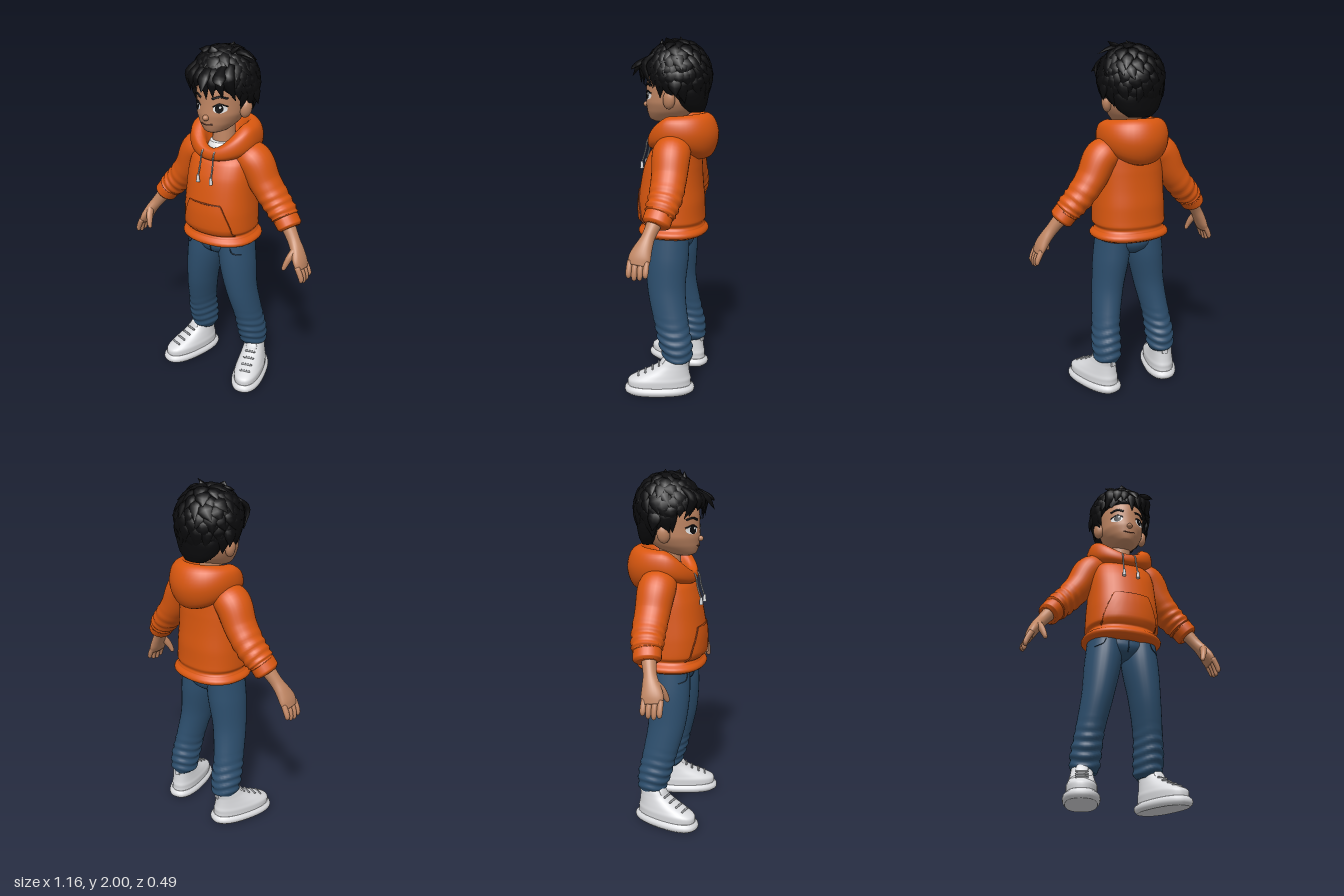
import * as THREE from 'three';

const V = (x, y, z) => new THREE.Vector3(x, y, z);
const mat = (name, color) => {
  const m = new THREE.MeshStandardMaterial({ color, side: THREE.DoubleSide });
  m.name = name;
  return m;
};

// Skin a smooth surface over elliptical rings [x, y, z, ra, rb].
// With ref = null the rings stay horizontal (listed bottom to top);
// otherwise they follow the path and ra lies along ref.
function loft(rings, { steps = 24, segs = 24, ref = null, power = 2, ripple = null } = {}) {
  const path = new THREE.CatmullRomCurve3(rings.map(r => V(r[0], r[1], r[2])));
  const size = new THREE.CatmullRomCurve3(rings.map(r => V(r[3], r[4], 0)));
  const pos = [], idx = [];
  const pw = c => Math.sign(c) * Math.abs(c) ** (2 / power);
  for (let i = 0; i <= steps; i++) {
    const t = i / steps, c = path.getPoint(t), s = size.getPoint(t);
    const dir = ref ? path.getTangent(t) : V(0, 1, 0);
    const b = dir.clone().cross(ref || V(1, 0, 0)).normalize(), a = b.clone().cross(dir);
    for (let j = 0; j < segs; j++) {
      const w = j / segs * Math.PI * 2, k = ripple ? ripple(t, w, c) : 1;
      const p = c.clone().addScaledVector(a, pw(Math.cos(w)) * s.x * k).addScaledVector(b, pw(Math.sin(w)) * s.y * k);
      pos.push(p.x, p.y, p.z);
    }
  }
  for (let i = 0; i < steps; i++) for (let j = 0; j < segs; j++) {
    const p = i * segs + j, q = i * segs + (j + 1) % segs;
    idx.push(p, q, p + segs, q, q + segs, p + segs);
  }
  const first = pos.length / 3, top = steps * segs;
  for (const t of [0, 1]) pos.push(...path.getPoint(t).toArray());
  for (let j = 0; j < segs; j++) {
    const k = (j + 1) % segs;
    idx.push(first, k, j, first + 1, top + j, top + k);
  }
  const g = new THREE.BufferGeometry();
  g.setAttribute('position', new THREE.Float32BufferAttribute(pos, 3));
  g.setIndex(idx);
  g.computeVertexNormals();
  return g;
}

export function createModel() {
  const root = new THREE.Group();
  const orange = mat('hoodie orange', 0xd9570f), seamOrange = mat('seam orange', 0x9c3d0b);
  const denim = mat('denim blue', 0x2d4f6e), darkDenim = mat('seam blue', 0x1c3247);
  const skin = mat('skin', 0xc08663), lipBrown = mat('lip brown', 0x6e4030);
  const black = mat('hair black', 0x0b0b0d), white = mat('eye white', 0xf0f0f0);
  const shoeWhite = mat('shoe white', 0xd9dadd), grey = mat('lace grey', 0x9a9ca0);

  const add = (name, geo, m, parent = root) => {
    const o = new THREE.Mesh(geo, m);
    o.name = name;
    parent.add(o);
    return o;
  };
  // Front surface point of a mesh at (x, y)
  const ray = new THREE.Raycaster();
  const onFront = (mesh, x, y, lift) => {
    ray.set(V(x, y, 1), V(0, 0, -1));
    const hit = ray.intersectObject(mesh)[0];
    return V(x, y, (hit ? hit.point.z : 0) + lift);
  };
  const drape = (geo, mesh, lift) => {
    const p = geo.attributes.position;
    for (let i = 0; i < p.count; i++) p.setZ(i, onFront(mesh, p.getX(i), p.getY(i), lift).z);
    geo.computeVertexNormals();
    return geo;
  };
  const line = (name, mesh, pts, r, m) => {
    const c = new THREE.CatmullRomCurve3(pts.map(p => V(p[0], p[1], 0)));
    const q = c.getPoints(12).map(p => onFront(mesh, p.x, p.y, r * 0.3));
    return add(name, new THREE.TubeGeometry(new THREE.CatmullRomCurve3(q), 20, r, 6), m);
  };

  // Hoodie body with ribbed hem
  const torso = add('hoodieBody', loft([
    [0, .9, .01, .185, .16], [0, .91, .01, .205, .178], [0, .955, .01, .205, .178], [0, .972, .01, .196, .172],
    [0, 1.0, .017, .21, .187], [0, 1.1, .02, .207, .186], [0, 1.2, .018, .2, .174], [0, 1.3, .01, .195, .16],
    [0, 1.38, -.005, .185, .14], [0, 1.43, -.02, .15, .105], [0, 1.45, -.02, .1, .07]],
  { steps: 60, segs: 40, power: 2.3 }), orange);

  // Hood: collar in front, hanging pouch behind; profiles are [distance, height]
  const front = [[.075, 1.4], [.105, 1.455], [.14, 1.455], [.152, 1.43], [.145, 1.4], [.1, 1.38]];
  const side = [[.08, 1.46], [.125, 1.58], [.18, 1.565], [.198, 1.51], [.19, 1.45], [.14, 1.4]];
  const back = [[.1, 1.46], [.165, 1.595], [.215, 1.57], [.245, 1.47], [.205, 1.36], [.12, 1.33]];
  const hoodPos = [], hoodIdx = [], N = 48, M = 24;
  for (let i = 0; i < N; i++) {
    const th = i / N * Math.PI * 2, c = Math.cos(th), k = Math.abs(c) ** 1.5, end = c > 0 ? front : back;
    const curve = new THREE.CatmullRomCurve3(side.map((p, n) =>
      V(p[0] + (end[n][0] - p[0]) * k, p[1] + (end[n][1] - p[1]) * k, 0)));
    for (let j = 0; j <= M; j++) {
      const p = curve.getPoint(j / M);
      hoodPos.push(p.x * Math.sin(th), p.y, p.x * c);
      if (j < M) {
        const a = i * (M + 1) + j, b = (i + 1) % N * (M + 1) + j;
        hoodIdx.push(a, a + 1, b, b, a + 1, b + 1);
      }
    }
  }
  const hood = new THREE.BufferGeometry();
  hood.setAttribute('position', new THREE.Float32BufferAttribute(hoodPos, 3));
  // Reverse winding so the outside faces outward
  for (let i = 0; i < hoodIdx.length; i += 3) [hoodIdx[i], hoodIdx[i + 1]] = [hoodIdx[i + 1], hoodIdx[i]];
  hood.setIndex(hoodIdx);
  hood.computeVertexNormals();
  add('hood', hood, orange);
  add('undershirt', loft([[0, 1.38, .02, .08, .08], [0, 1.45, .02, .075, .075], [0, 1.48, .015, .066, .066]]), white);

  // Front pocket with stitched openings
  const pocket = new THREE.PlaneGeometry(2, 1, 16, 8), pp = pocket.attributes.position;
  for (let i = 0; i < pp.count; i++) {
    const v = pp.getY(i) + .5;
    pp.setXY(i, pp.getX(i) * (.16 - .06 * v ** 1.5), .975 + .185 * v);
  }
  add('frontPocket', drape(pocket, torso, .007), orange);
  line('pocketTopSeam', torso, [[-.1, 1.16], [0, 1.162], [.1, 1.16]], .005, seamOrange);

  // Head, neck and face
  const head = add('head', loft([
    [0, 1.543, .075, .025, .04], [0, 1.557, .06, .06, .085], [0, 1.6, .03, .102, .13], [0, 1.65, .018, .125, .148],
    [0, 1.7, .01, .13, .153], [0, 1.77, 0, .135, .16], [0, 1.86, -.01, .125, .145], [0, 1.93, -.01, .06, .07]],
  { steps: 40, segs: 40 }), skin);
  add('neck', new THREE.CylinderGeometry(.06, .068, .2, 20).translate(0, 1.5, -.005), skin);
  add('nose', new THREE.SphereGeometry(1, 14, 10).scale(.017, .016, .02).translate(0, 1.637, .166), skin);
  line('mouth', head, [[-.035, 1.602], [0, 1.597], [.035, 1.604]], .0035, lipBrown);

  const disc = (name, x, y, rx, ry, lift, m) =>
    add(name, drape(new THREE.CircleGeometry(1, 20).scale(rx, ry, 1).translate(x, y, 0), head, lift), m);

  for (const s of [1, -1]) {
    // Eyes, brows, ears
    disc('eyeWhite', s * .07, 1.688, .03, .022, .003, white);
    disc('iris', s * .068, 1.69, .018, .023, .005, black);
    disc('eyeGlint', s * .068 + .006, 1.698, .005, .006, .007, white);
    line('upperLash', head, [[s * .038, 1.698], [s * .068, 1.714], [s * .1, 1.7]], .004, black);
    line('eyebrow', head, [[s * .035, 1.74], [s * .07, 1.752], [s * .1, 1.742]], .006, black);
    const ear = add('ear', new THREE.SphereGeometry(1, 16, 12).scale(.026, .05, .036), skin);
    ear.position.set(s * .142, 1.67, 0);
    ear.rotation.set(-.15, s * -.35, s * -.15);

    line('pocketSideSeam', torso, [[s * .1, 1.16], [s * .122, 1.11], [s * .15, 1.03], [s * .16, .975]], .005, seamOrange);

    // Drawstrings
    add('drawstring', new THREE.TubeGeometry(new THREE.CatmullRomCurve3(
      [V(s * .035, 1.46, .12), V(s * .038, 1.44, .152), V(s * .04, 1.38, .165), V(s * .042, 1.32, .183)]), 16, .005, 6), grey);
    add('drawstringTip', new THREE.CylinderGeometry(.007, .011, .04, 10).translate(s * .042, 1.298, .187), shoeWhite);

    // Sleeve with gathered folds, then cuff
    const axis = V(0, 0, 1);
    add('sleeve', loft([
      [s * .1, 1.42, -.02, .085, .07], [s * .185, 1.385, -.025, .105, .095], [s * .252, 1.27, -.03, .097, .085],
      [s * .325, 1.175, -.03, .092, .078], [s * .385, 1.11, -.02, .085, .072], [s * .405, 1.085, -.015, .07, .06]],
    { steps: 50, segs: 28, ref: axis, ripple: (t, w) =>
      1 + .05 * THREE.MathUtils.smoothstep(t, .4, .7) * Math.sin(t * 62 + 1.5 * Math.sin(w)) }), orange);
    add('cuff', loft([
      [s * .39, 1.105, -.018, .06, .05], [s * .398, 1.095, -.015, .077, .067], [s * .425, 1.06, -.008, .077, .066],
      [s * .434, 1.048, -.005, .06, .052]], { ref: axis }), orange);

    // Hand, fingers and thumb
    add('hand', loft([
      [s * .42, 1.065, 0, .042, .04], [s * .468, 1.0, .02, .036, .034], [s * .503, .95, .036, .047, .032],
      [s * .53, .9, .05, .06, .028], [s * .546, .862, .055, .055, .02]], { ref: axis }), skin);
    for (let i = 0; i < 4; i++) {
      const z = .055 + (i - 1.5) * .03, len = [.055, .068, .072, .06][i];
      add('finger', loft([
        [s * .538, .885, z, .015, .016], [s * .556, .85, z, .016, .016], [s * .567, .865 - len * .75, z, .015, .014],
        [s * .566, .865 - len, z, .011, .01], [s * .563, .86 - len, z, .003, .003]], { steps: 12, segs: 10, ref: axis }), skin);
    }
    add('thumb', loft([
      [s * .5, .965, .055, .02, .02], [s * .485, .925, .085, .022, .019], [s * .472, .885, .105, .017, .015],
      [s * .464, .858, .113, .012, .011], [s * .462, .85, .114, .003, .003]], { steps: 14, segs: 12, ref: axis }), skin);

    // Trouser leg, bunched at the ankle
    const leg = add('trouserLeg', loft([
      [s * .18, .18, -.06, .06, .065], [s * .18, .2, -.06, .077, .082], [s * .178, .29, -.045, .083, .097],
      [s * .168, .4, -.02, .079, .1], [s * .137, .6, .018, .088, .11], [s * .11, .8, .02, .102, .124], [s * .1, .94, .015, .096, .122]],
    { steps: 70, segs: 28, ripple: (t, w, c) =>
      1 + .05 * (1 - THREE.MathUtils.smoothstep(c.y, .3, .5)) * Math.sin(c.y * 125 + 1.6 * Math.sin(w * 2 + s)) }), denim);
    line('trouserPocketSeam', leg, [[s * .13, .895], [s * .145, .865], [s * .185, .85]], .003, darkDenim);

    // Shoe, turned slightly outward
    const shoe = new THREE.Group();
    shoe.name = 'shoe';
    shoe.position.set(s * .222, 0, .038);
    shoe.rotation.y = s * .28;
    root.add(shoe);
    add('sole', loft([[0, 0, 0, .082, .185], [0, .004, 0, .085, .189], [0, .045, 0, .085, .189], [0, .05, 0, .08, .184]],
      { steps: 12, segs: 36, power: 2.4 }), shoeWhite, shoe);
    add('shoeUpper', loft([
      [0, .04, 0, .08, .183], [0, .08, 0, .081, .182], [0, .108, -.02, .075, .156], [0, .14, -.055, .067, .116],
      [0, .17, -.08, .061, .088], [0, .203, -.098, .056, .074], [0, .21, -.098, .045, .06]],
    { steps: 30, segs: 36, power: 2.3 }), shoeWhite, shoe);
    add('heelTab', new THREE.BoxGeometry(.03, .05, .014).translate(0, .19, -.17), shoeWhite, shoe);
    const tongue = add('tongue', new THREE.SphereGeometry(1, 14, 10).scale(.034, .04, .012), shoeWhite, shoe);
    tongue.position.set(0, .188, -.02);
    tongue.rotation.x = -.5;
    for (const [y, z] of [[.112, .122], [.13, .082], [.15, .04], [.172, .004]])
      add('lace', new THREE.CapsuleGeometry(.006, .055, 4, 8).rotateZ(Math.PI / 2).translate(0, y, z), grey, shoe);
  }

  // Seat of the trousers and fly
  const seat = add('trouserSeat', loft([[0, .81, .015, .05, .07], [0, .84, .016, .13, .11], [0, .88, .016, .185, .124],
    [0, .94, .015, .19, .122]], { segs: 32 }), denim);
  line('fly', seat, [[0, .9], [.002, .87], [0, .835]], .003, darkDenim);

  // Hair: a cap covered in swept tufts
  const hair = new THREE.Group();
  hair.name = 'hair';
  root.add(hair);
  add('hairCap', loft([
    [0, 1.6, -.12, .07, .04], [0, 1.64, -.1, .12, .075], [0, 1.7, -.085, .148, .1], [0, 1.76, -.045, .16, .14],
    [0, 1.81, -.01, .165, .168], [0, 1.87, -.008, .158, .16], [0, 1.93, -.01, .115, .12], [0, 1.96, -.01, .04, .04]],
  { steps: 30, segs: 32 }), black, hair);
  const centre = V(0, 1.8, -.015);
  const dome = (phi, th, k) => V(.162 * Math.sin(phi) * Math.sin(th), .165 * Math.cos(phi), .165 * Math.sin(phi) * Math.cos(th))
    .multiplyScalar(k).add(centre);
  const tuft = (p0, p1, p2, w) => {
    const ref = p1.clone().sub(centre).cross(p2.clone().sub(p0)).normalize();
    add('hairTuft', loft([[...p0, w * .5, w * .3], [...p1, w, w * .42], [...p2, .001, .001]],
      { steps: 7, segs: 8, ref }), black, hair);
  };
  let seed = 7;
  const rnd = () => (seed = (seed * 16807) % 2147483647) / 2147483647;
  const count = 150;
  for (let i = 0; i < count; i++) {
    const th = i * 2.39996, phi = (1.85 - .55 * Math.cos(th)) * Math.sqrt((i + .5) / count);
    const tip = dome(phi + .3 + .15 * rnd(), th + .3 * (rnd() - .3), 1.1 + .1 * rnd());
    if (phi > 1.7) tip.y -= .025;
    tuft(dome(phi - .35, th, .95), dome(phi, th + .1 * (rnd() - .5), 1.07), tip, .032 + .014 * rnd());
  }
  // Fringe and forward curls: [root x, tip x, tip y, tip z]
  for (const [x0, x, y, z] of [[-.1, -.135, 1.75, .11], [-.07, -.09, 1.79, .17], [-.03, -.045, 1.795, .19], [0, .012, 1.74, .178],
    [.04, .055, 1.755, .18], [.07, .095, 1.75, .15], [.11, .135, 1.73, .09], [0, .025, 1.79, .24], [.07, .13, 1.83, .215]])
    tuft(V(x0, 1.91, .09), V((x0 + x) / 2, 1.855, .115 + z * .35), V(x, y, z), .034);
  // Locks in front of the ears and stray tips on the crown
  for (const s of [1, -1]) {
    tuft(V(s * .14, 1.84, .04), V(s * .16, 1.77, .045), V(s * .14, 1.68, .05), .035);
    tuft(V(s * .15, 1.82, -.03), V(s * .175, 1.76, -.04), V(s * .185, 1.69, -.05), .04);
  }
  for (const [x, y, z] of [[.12, 1.995, .02], [.04, 2, -.04], [-.12, 1.96, .05], [.19, 1.93, 0], [-.02, 1.99, .08]])
    tuft(V(x * .3, 1.92, z), V(x * .55, 1.96, z), V(x, y, z), .032);
  return root;
}
